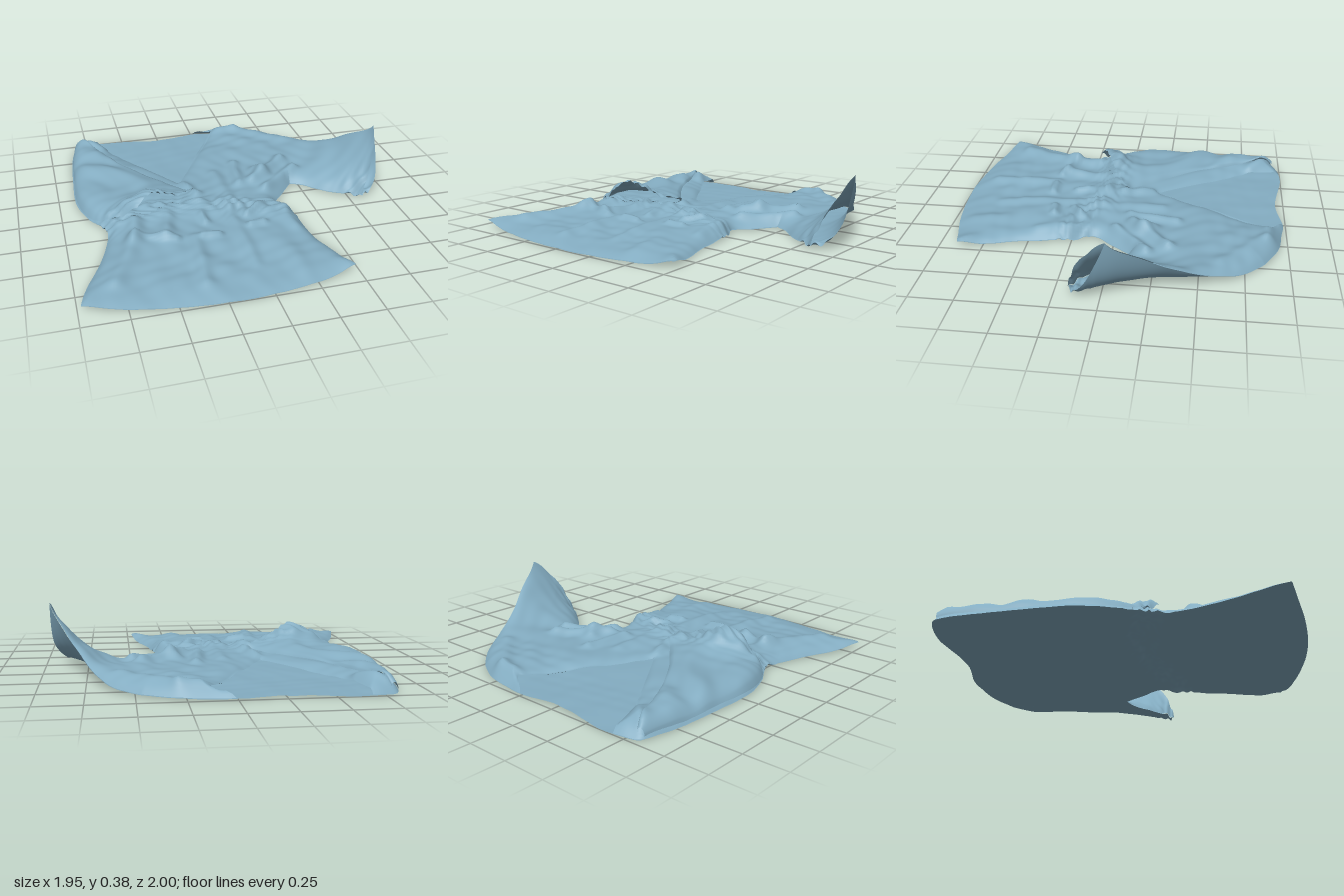
import * as THREE from 'three';
import { mergeGeometries, mergeVertices } from 'three/addons/utils/BufferGeometryUtils.js';

const mat = new THREE.MeshStandardMaterial({ color: 0x84adc2, side: THREE.DoubleSide });
const { lerp, clamp } = THREE.MathUtils;

// Piecewise linear lookup in a list of [key, value]
function lookup(list, k) {
  if (k <= list[0][0]) return list[0][1];
  for (let i = 1; i < list.length; i++) {
    const [a, va] = list[i - 1], [b, vb] = list[i];
    if (k <= b) return lerp(va, vb, (k - a) / (b - a));
  }
  return list[list.length - 1][1];
}
const smooth = (pts, n = 60) =>
  new THREE.SplineCurve(pts.map(p => new THREE.Vector2(...p))).getPoints(n).map(p => [p.x, p.y]);

// Garment outline, as [x, z] on the floor
const topEdge = smooth([[-0.84, -0.91], [-0.8, -0.97], [-0.6, -1], [-0.25, -0.95], [0, -0.985], [0.13, -0.97], [0.3, -0.945], [0.47, -0.86]]);
const hem = smooth([[-0.98, 0.87], [-0.6, 0.96], [-0.23, 1], [0.15, 0.97], [0.48, 0.89]]);
const leftSide = smooth([[-0.84, -0.91], [-0.87, -0.75], [-0.89, -0.5], [-0.9, -0.2], [-0.85, 0], [-0.8, 0.1],
  [-0.76, 0.2], [-0.78, 0.32], [-0.84, 0.5], [-0.93, 0.7], [-0.98, 0.87]]);
const rightSide = smooth([[0.45, -0.1], [0.36, 0.01], [0.285, 0.12], [0.34, 0.25], [0.36, 0.4], [0.38, 0.55], [0.43, 0.7], [0.48, 0.89]]);
const sleeveOuter = smooth([[0.47, -0.86], [0.61, -0.73], [0.71, -0.56], [0.79, -0.39], [0.88, -0.23], [0.97, -0.04]]);
const sleeveInner = smooth([[0.45, -0.1], [0.53, -0.06], [0.62, 0.03], [0.72, 0.11], [0.83, 0.18]]);
const neck = [[-0.68, -0.99], [-0.62, -0.78], [-0.25, -0.21], [0.13, -0.9], [0.01, -0.98]];

function segDist(x, z, a, b) {
  const dx = b[0] - a[0], dz = b[1] - a[1];
  const t = clamp(((x - a[0]) * dx + (z - a[1]) * dz) / (dx * dx + dz * dz), 0, 1);
  return Math.hypot(x - a[0] - dx * t, z - a[1] - dz * t);
}
function lineDist(x, z, line) {
  let d = 9;
  for (let i = 1; i < line.length; i++) d = Math.min(d, segDist(x, z, line[i - 1], line[i]));
  return d;
}

// Cloth folds: x0, z0, x1, z1, height, width
const folds = [
  [-0.24, -0.18, -0.18, 0, 0.025, 0.03], [-0.2, 0.0, -0.2, 0.2, 0.015, 0.04], [0.14, -0.35, 0.1, -0.08, 0.03, 0.035],
  [0.2, -0.1, 0.45, -0.32, 0.04, 0.04], [0.26, 0, 0.5, -0.2, 0.04, 0.035], [0.25, -0.22, 0.29, -0.15, 0.03, 0.04],
  [-0.02, -0.25, 0, 0.15, 0.015, 0.04], [-0.05, 0.1, -0.03, 0.75, 0.018, 0.04], [-0.3, 0.45, -0.33, 0.85, 0.02, 0.04],
  [-0.6, 0.22, -0.64, 0.4, 0.04, 0.05], [-0.64, 0.4, -0.78, 0.75, 0.03, 0.05], [-0.62, 0.36, -0.4, 0.44, 0.025, 0.025],
  [-0.25, 0.45, -0.16, 0.45, 0.03, 0.025], [-0.21, 0.24, -0.2, 0.3, 0.025, 0.025], [0.04, 0.4, 0.12, 0.39, 0.03, 0.025],
  [0.05, 0.28, 0.17, 0.2, 0.025, 0.025], [-0.4, 0.2, -0.45, 0.4, 0.025, 0.04], [0.27, 0.15, 0.3, 0.45, 0.02, 0.04],
  [0.15, 0.5, 0.2, 0.85, 0.012, 0.06], [0.13, -0.89, 0.28, -0.89, 0.04, 0.04], [0.3, -0.85, 0.57, -0.62, 0.02, 0.05],
  [-0.78, -0.9, -0.65, -0.8, 0.03, 0.04],
];
const crumple = (x, z) => Math.sin(9 * x + 3 * Math.sin(5 * z + 2 * x)) * Math.sin(6 * z + 3 * Math.sin(7 * x - 2 * z))
  + 0.35 * Math.sin(31 * x + 13 * z + 3 * Math.sin(9 * z)) * Math.sin(27 * z - 19 * x);

const hemLift = (x, z) => 0.03 * Math.exp(-((x - 0.48) ** 2 + (z - 0.89) ** 2) / 0.008)
  + 0.025 * Math.exp(-((x + 0.98) ** 2 + (z - 0.87) ** 2) / 0.02);

// Underside: flat, with a crumpled band across the waist
function backY(x, z) {
  const waist = Math.exp(-(((z - 0.17 - 0.08 * Math.sin(4 * x)) / 0.09) ** 2));
  const ruck = 1 + Math.sin(48 * z + 7 * Math.sin(8 * x)) * Math.sin(29 * x + 5 * Math.sin(20 * z));
  return 0.011 + 0.003 * crumple(x, z) + hemLift(x, z) + 0.016 * waist * ruck;
}
// Height of the cloth lying on top, thin at the hem and full at chest and shoulders
const fullness = [[-1, 0.065], [-0.3, 0.06], [0.15, 0.055], [0.45, 0.05], [0.8, 0.034], [1, 0.025]];
function frontY(x, z) {
  const rims = [leftSide, rightSide, sleeveOuter, sleeveInner, topEdge];
  const d = Math.min(lineDist(x, z, neck) + 0.03, lineDist(x, z, hem) * 0.6, ...rims.map(l => lineDist(x, z, l)));
  const puff = 1 - Math.exp(-d / 0.045);
  let h = lookup(fullness, z) + 0.006 * crumple(x, z);
  for (const [a, b, c, e, height, w] of folds) h += height * Math.exp(-((segDist(x, z, [a, b], [c, e]) / w) ** 2));
  return backY(x, z) + 0.004 + puff * h;
}

// Sheet of rows and columns from a point function f(row, column), both 0..1
function sheet(f, rows, cols, flip = false) {
  const pos = [], index = [];
  for (let r = 0; r <= rows; r++) for (let c = 0; c <= cols; c++) pos.push(...f(r / rows, c / cols));
  for (let r = 0; r < rows; r++) for (let c = 0; c < cols; c++) {
    const a = r * (cols + 1) + c, b = a + cols + 1;
    index.push(...(flip ? [a, a + 1, b, b, a + 1, b + 1] : [a, b, a + 1, b, b + 1, a + 1]));
  }
  const g = new THREE.BufferGeometry();
  g.setAttribute('position', new THREE.Float32BufferAttribute(pos, 3));
  g.setIndex(index);
  return g;
}
function add(group, name, geos) {
  const g = mergeVertices(mergeGeometries(geos), 1e-4);
  g.computeVertexNormals();
  const m = new THREE.Mesh(g, mat);
  m.name = name;
  group.add(m);
}

export function createModel() {
  const group = new THREE.Group();
  group.name = 'blouse';

  // Body: rows run from the shoulder line to the hem
  const rowOf = ([x, z]) => {
    const a = lookup(topEdge, x), b = lookup(hem, x);
    return [clamp((z - a) / (b - a), 0, 1), x];
  };
  const xLeft = leftSide.map(rowOf);
  const xRight = [[0, 0.47], ...rightSide.map(rowOf)];
  const neckLeft = neck.slice(0, 3).map(rowOf);
  const neckRight = neck.slice(2).reverse().map(rowOf);
  const place = (w, x, height) => {
    const z = lerp(lookup(topEdge, x), lookup(hem, x), w);
    return [x, height(x, z), z];
  };
  add(group, 'backPanel', [sheet((w, u) => place(w, lerp(lookup(xLeft, w), lookup(xRight, w), u), backY), 110, 70, true)]);
  add(group, 'frontPanel', [
    sheet((w, u) => place(w, lerp(lookup(xLeft, w), lookup(neckLeft, w), u), frontY), 130, 45),
    sheet((w, u) => place(w, lerp(lookup(neckRight, w), lookup(xRight, w), u), frontY), 130, 45),
  ]);

  // Left sleeve: spread sideways, its outer edge curling up toward the cuff
  const sleeve = upper => (t, s) => {
    const i = t * 60, k = Math.min(Math.floor(i), 59), f = i - k;
    const at = (line, n) => lerp(line[k][n], line[k + 1][n], f);
    const x = lerp(at(sleeveOuter, 0), at(sleeveInner, 0), s);
    const z = lerp(at(sleeveOuter, 1), at(sleeveInner, 1), s);
    const bow = 0.045 * t * t * Math.sin(Math.PI * s);
    const lift = 0.375 * t ** 2 * (1 - s) ** (upper ? 1.1 : 2.2);
    return [x + bow * (upper ? 0.3 : 1), (upper ? frontY : backY)(x, z) + lift, z + bow * 0.6];
  };
  add(group, 'leftSleeve', [sheet(sleeve(true), 50, 40, true), sheet(sleeve(false), 50, 40)]);

  // Right sleeve: folded flat across the chest, cuff gaping open
  const foldOuter = smooth([[-0.83, -0.94], [-0.87, -0.7], [-0.885, -0.45], [-0.895, -0.2], [-0.85, 0], [-0.76, 0.12], [-0.58, 0.2]]);
  const foldInner = smooth([[-0.79, -0.95], [-0.69, -0.74], [-0.57, -0.5], [-0.44, -0.3], [-0.35, -0.19], [-0.27, -0.09], [-0.2, -0.01]]);
  const folded = upper => (t, s) => {
    const k = Math.round(t * 60);
    const x = lerp(foldOuter[k][0], foldInner[k][0], s), z = lerp(foldOuter[k][1], foldInner[k][1], s);
    const puff = Math.max(0, Math.sin(Math.PI * s)) ** 0.45;
    const gape = 0.075 * Math.exp(-(((x + 0.52) / 0.11) ** 2) - ((z - 0.15) / 0.12) ** 2);
    const crease = 0.012 * Math.sin(11 * (x - z) + 3 * Math.sin(6 * z)) * puff;
    const rise = upper ? 0.005 + puff * lerp(0.025, 0.05, t) + gape + crease : 0;
    return [x, frontY(x, z) + 0.004 + rise, z];
  };
  add(group, 'rightSleeve', [sheet(folded(true), 60, 36), sheet(folded(false), 60, 36, true)]);
  return group;
}
